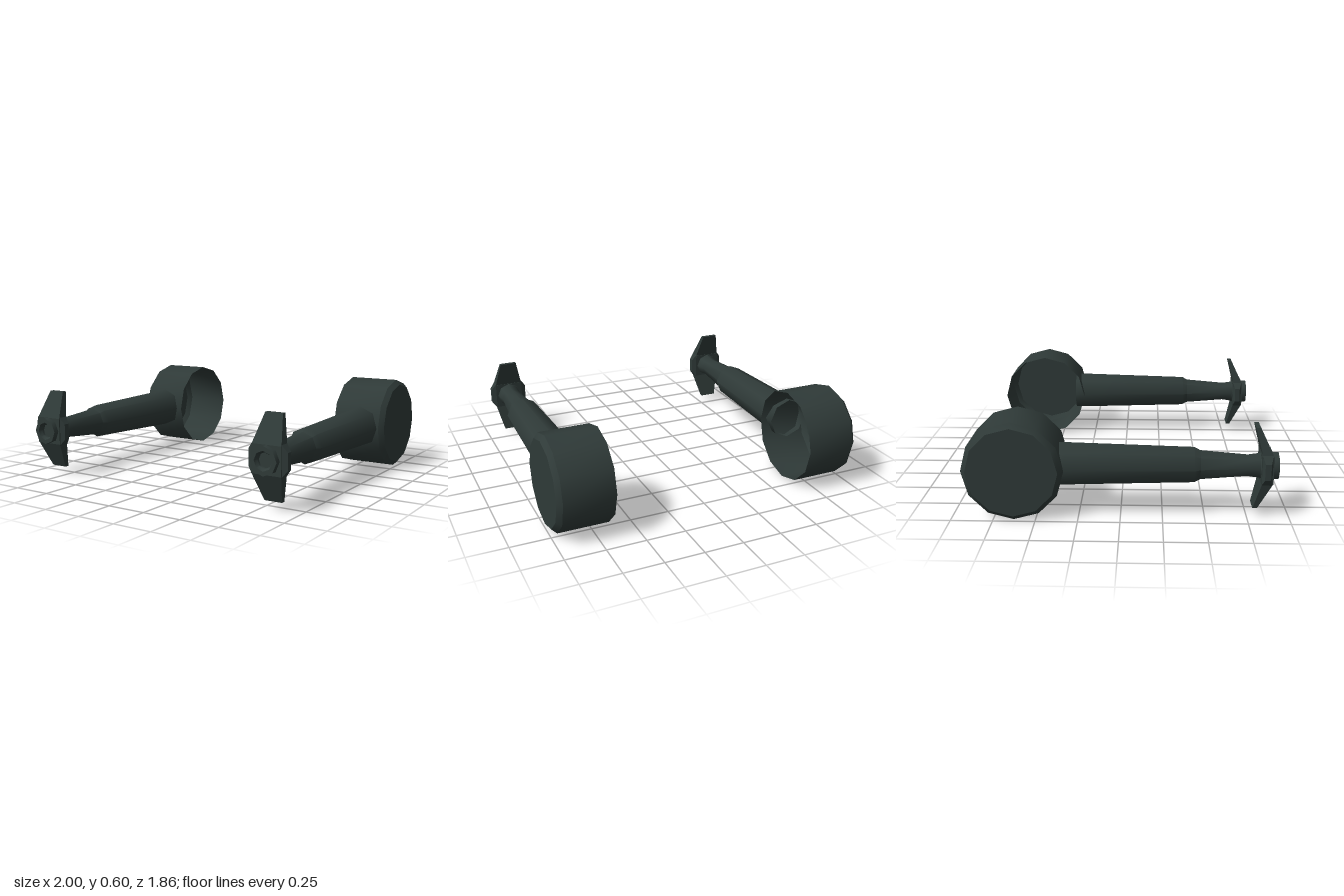
import * as THREE from 'three';
import { toCreasedNormals } from 'three/addons/utils/BufferGeometryUtils.js';

const gunmetal = new THREE.MeshStandardMaterial({ color: 0x2f3a38, side: THREE.DoubleSide });
gunmetal.name = 'dark gunmetal';

const CX = 0.825, CY = 0.3; // barrel axis

function lathe(points, sides, crease) {
  const pts = points.map(([r, h]) => new THREE.Vector2(r, h));
  return toCreasedNormals(new THREE.LatheGeometry(pts, sides), crease);
}

function part(name, geometry, parent) {
  const mesh = new THREE.Mesh(geometry, gunmetal);
  mesh.name = name;
  parent.add(mesh);
  return mesh;
}

// Box rising from y0 to y1, each end given as half width and z range
function taper(y0, [w0, back0, front0], y1, [w1, back1, front1]) {
  const g = new THREE.BoxGeometry(2, 1, 1);
  const p = g.attributes.position;
  for (let i = 0; i < p.count; i++) {
    const top = p.getY(i) > 0, front = p.getZ(i) > 0;
    p.setXYZ(i,
      p.getX(i) * (top ? w1 : w0),
      top ? y1 : y0,
      top ? (front ? front1 : back1) : (front ? front0 : back0));
  }
  const flat = g.toNonIndexed();
  flat.computeVertexNormals();
  return flat;
}

function createArm(side) {
  const arm = new THREE.Group();
  arm.name = side > 0 ? 'leftArm' : 'rightArm';
  arm.position.set(side * CX, CY, 0);

  // Open cup, capped and chamfered on the outer side
  const cup = lathe([[0.3, -0.175], [0.3, 0.145], [0.27, 0.175], [0, 0.175]], 12, 0.65);
  cup.rotateZ(-side * Math.PI / 2);
  part('shoulderCup', cup, arm).position.z = -0.63;

  // Stepped barrel, open inside the cup
  const barrel = lathe([
    [0.136, -0.4], [0.135, -0.33], [0.112, 0.435], [0.092, 0.47],
    [0.068, 0.75], [0.08, 0.83],
  ], 8, 0.82);
  barrel.rotateX(Math.PI / 2);
  part('barrel', barrel, arm);

  // Muzzle ring with a recessed bore
  const muzzle = lathe([
    [0.08, 0.82], [0.085, 0.83], [0.085, 0.93], [0.058, 0.93],
    [0.046, 0.91], [0.046, 0.87], [0, 0.87],
  ], 8, 0.82);
  muzzle.rotateX(Math.PI / 2);
  part('muzzle', muzzle, arm);

  // Collar holding the fins
  part('collar', taper(-0.085, [0.095, 0.825, 0.895], 0.085, [0.095, 0.825, 0.895]), arm);

  // Swept fins above and below, short lugs on either side
  for (const s of [1, -1]) {
    const fin = part('fin', taper(0.08, [0.095, 0.83, 0.895], 0.252, [0.056, 0.785, 0.812]), arm);
    const lug = part('lug', taper(0.09, [0.095, 0.825, 0.89], 0.125, [0.05, 0.84, 0.875]), arm);
    fin.rotation.z = s > 0 ? 0 : Math.PI;
    lug.rotation.z = s * Math.PI / 2;
  }
  return arm;
}

export function createModel() {
  const model = new THREE.Group();
  model.name = 'armPair';
  for (const side of [1, -1]) model.add(createArm(side));
  return model;
}
